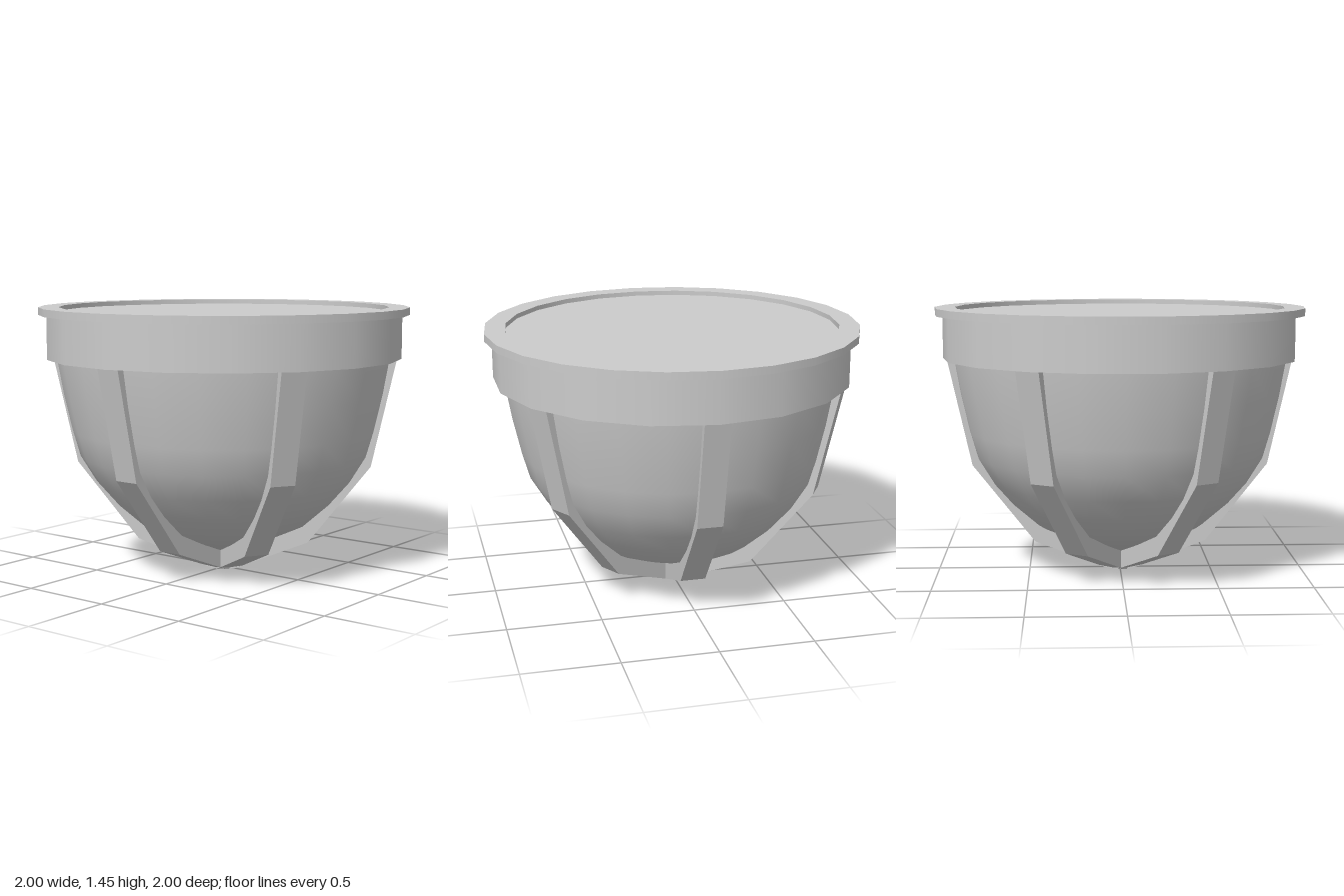
import * as THREE from 'three';

export function createModel() {
  const group = new THREE.Group();
  const grey = new THREE.MeshStandardMaterial({ color: 0xcccccc });
  grey.name = 'plain grey';

  const add = (geometry, name) => {
    const mesh = new THREE.Mesh(geometry, grey);
    mesh.name = name;
    group.add(mesh);
    return mesh;
  };
  const points = (list) => list.map(([x, y]) => new THREE.Vector2(x, y));

  // Rounded bowl, open at the top where the collar hides it
  add(new THREE.LatheGeometry(points([
    [0, 0.09], [0.13, 0.12], [0.3, 0.19], [0.46, 0.262], [0.6, 0.385], [0.7, 0.5],
    [0.785, 0.64], [0.825, 0.78], [0.87, 0.98], [0.905, 1.18], [0.91, 1.25],
  ]), 24), 'bowl');

  // Straight collar around the top of the bowl
  const collar = new THREE.CylinderGeometry(0.96, 0.96, 0.235, 18);
  collar.rotateY(Math.PI / 2).translate(0, 1.2875, 0);
  add(collar, 'collar');

  // Flat rim with a shallow recess; each corner is doubled to stay sharp
  const corners = [[0.89, 1.405], [1, 1.405], [1, 1.445], [0.89, 1.445], [0.89, 1.42]];
  for (let i = 0; i < corners.length - 1; i++) {
    add(new THREE.LatheGeometry(points([corners[i], corners[i + 1]]), 24), 'rim');
  }

  // Lid panel set into the rim
  const lid = new THREE.CircleGeometry(0.89, 24);
  lid.rotateX(-Math.PI / 2).translate(0, 1.42, 0);
  add(lid, 'lidPanel');

  // Six angular ribs that meet under the bowl
  const width = 0.135;
  const ribShape = new THREE.Shape(points([
    [0, 0], [0.064, 0.005], [0.468, 0.162], [0.805, 0.588], [0.937, 1.18],
    [0.84, 1.18], [0.7, 0.65], [0.4, 0.3], [0, 0.16],
  ]));
  const ribGeometry = new THREE.ExtrudeGeometry(ribShape, { depth: width, bevelEnabled: false });
  ribGeometry.translate(0, 0, -width / 2);
  for (const degrees of [0, 59, 121, 180, 239, 301]) {
    add(ribGeometry, 'rib').rotation.y = THREE.MathUtils.degToRad(degrees);
  }

  return group;
}
